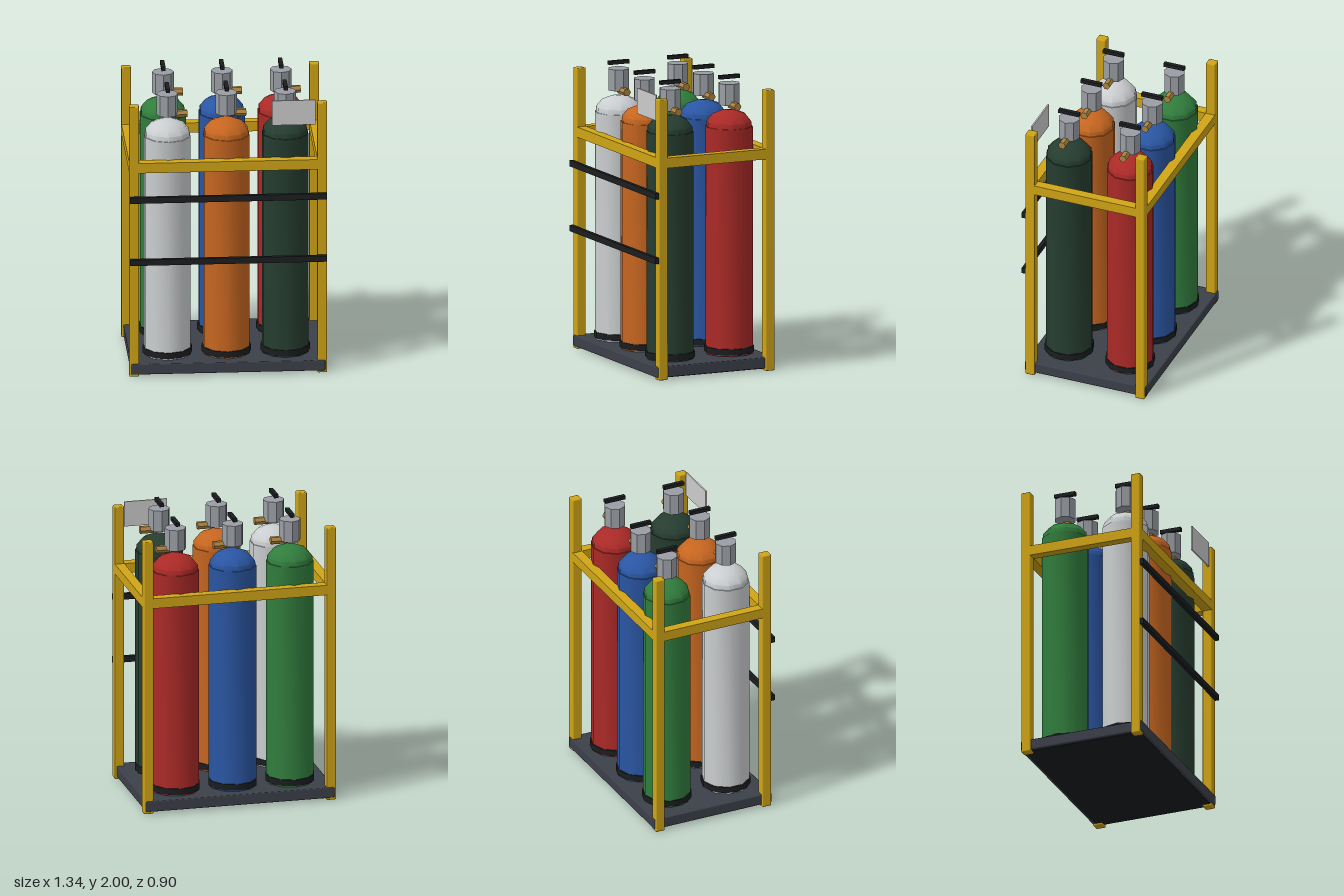
import * as THREE from 'three';
import { toCreasedNormals } from 'three/addons/utils/BufferGeometryUtils.js';
import { RoundedBoxGeometry } from 'three/addons/geometries/RoundedBoxGeometry.js';

const mat = (color, flatShading = false) => new THREE.MeshStandardMaterial({ color, flatShading });
const yellow = mat(0xd0a516);
const deckGrey = mat(0x3c4049);
const black = mat(0x1b1d20);
const steel = mat(0x9a9ea4, true);
const brass = mat(0xac8440, true);
const plateGrey = mat(0xcccccc);

function add(parent, name, geometry, material, x = 0, y = 0, z = 0) {
  const mesh = new THREE.Mesh(geometry, material);
  mesh.name = name;
  mesh.position.set(x, y, z);
  parent.add(mesh);
  return mesh;
}

const bevelBox = (w, h, d, r = 0.008) => new RoundedBoxGeometry(w, h, d, 1, r);

// Ten-sided bottle: straight wall, stepped shoulder and shallow dome
const bottleProfile = [
  [0, 0.095], [0.162, 0.095], [0.162, 1.65], [0.155, 1.65], [0.153, 1.683],
  [0.113, 1.732], [0.06, 1.753], [0, 1.76],
].map(([r, y]) => new THREE.Vector2(r, y));
const bottleGeo = toCreasedNormals(new THREE.LatheGeometry(bottleProfile, 10), 0.75);
const bootGeo = new THREE.CylinderGeometry(0.168, 0.168, 0.042, 12);
const valveGeo = new THREE.CylinderGeometry(0.074, 0.074, 0.147, 8);
const outletGeo = new THREE.CylinderGeometry(0.027, 0.027, 0.118, 6).rotateZ(-Math.PI / 2);
const handleGeo = new THREE.BoxGeometry(0.028, 0.026, 0.15);

function gasBottle(color) {
  const bottle = new THREE.Group();
  bottle.name = 'gasBottle';
  add(bottle, 'bottleBody', bottleGeo, mat(color));
  add(bottle, 'bottleBoot', bootGeo, black, 0, 0.125, 0);
  add(bottle, 'valveBlock', valveGeo, steel, 0, 1.871, 0);
  add(bottle, 'valveOutlet', outletGeo, brass, 0.075, 1.8, 0);
  add(bottle, 'valveHandle', handleGeo, black, 0, 1.987, 0);
  return bottle;
}

export function createModel() {
  const model = new THREE.Group();
  model.name = 'gasBottleRack';

  // Deck the bottles stand on
  add(model, 'deck', bevelBox(1.31, 0.075, 0.88), deckGrey, 0, 0.0535, -0.01);
  add(model, 'deckUnderside', new THREE.BoxGeometry(1.27, 0.006, 0.84), black, 0, 0.0155, -0.01);

  // Corner posts and the rails joining them
  const postX = 0.635, frontZ = 0.388, backZ = -0.41;
  const rack = new THREE.Group();
  rack.name = 'rackFrame';
  model.add(rack);
  for (const x of [-postX, postX]) {
    for (const z of [frontZ, backZ]) {
      add(rack, 'cornerPost', bevelBox(0.066, 1.925, 0.068), yellow, x, 0.9625, z);
    }
    add(rack, 'sideRail', new THREE.BoxGeometry(0.066, 0.07, frontZ - backZ), yellow,
      x, 1.488, (frontZ + backZ) / 2);
  }
  for (const z of [frontZ, backZ]) {
    add(rack, 'longRail', new THREE.BoxGeometry(2 * postX, 0.07, 0.068), yellow, 0, 1.488, z);
  }

  // Restraint straps across the front
  for (const y of [0.822, 1.266]) {
    add(model, 'strap', new THREE.BoxGeometry(1.33, 0.042, 0.026), black, 0, y, 0.435);
  }

  // Blank sign plate
  add(model, 'signPlate', new THREE.BoxGeometry(0.295, 0.175, 0.01), plateGrey, 0.443, 1.857, 0.404);

  // Two rows of three bottles
  const rows = [
    { z: 0.21, colors: [0xcccfd1, 0xc76620, 0x263d30] },
    { z: -0.232, colors: [0x317d3d, 0x2a56a3, 0xab2a27] },
  ];
  for (const { z, colors } of rows) {
    colors.forEach((color, i) => {
      const bottle = gasBottle(color);
      bottle.position.set((i - 1) * 0.398, 0, z);
      model.add(bottle);
    });
  }
  return model;
}
